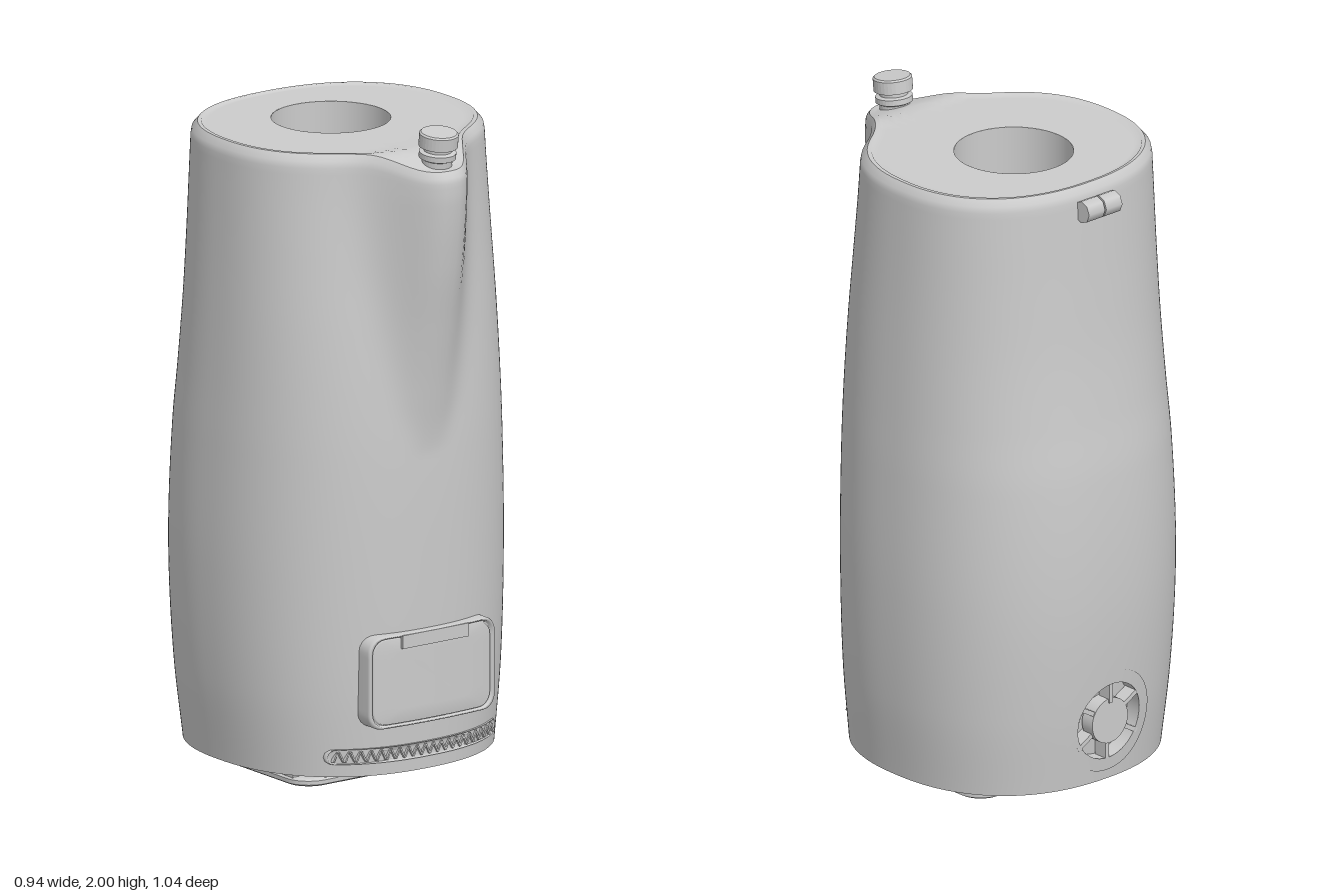
import * as THREE from 'three';
import { mergeVertices } from 'three/addons/utils/BufferGeometryUtils.js';

const TAU = Math.PI * 2, TOP = 1.93, FLOOR = 0.06, SEG = 160;
const VENT = { y: 0.25, r: 0.14 };
const grey = new THREE.MeshStandardMaterial({ color: 0xcccccc });
const greyDouble = new THREE.MeshStandardMaterial({ color: 0xcccccc, side: THREE.DoubleSide });
const smooth = THREE.MathUtils.smoothstep;

// Body profile by height: half width, front z, back z, spout reach, spout half width
const heights = [0.06, 0.3, 0.65, 1.02, 1.2, 1.4, 1.6, 1.8, 1.93];
const profile = new THREE.CubicInterpolant(heights, [
  0.435, 0.395, -0.48, 0, 0.05,
  0.460, 0.405, -0.503, 0, 0.05,
  0.472, 0.410, -0.52, 0, 0.05,
  0.464, 0.408, -0.505, 0, 0.05,
  0.456, 0.400, -0.483, 0.03, 0.085,
  0.447, 0.385, -0.462, 0.077, 0.112,
  0.438, 0.365, -0.448, 0.132, 0.13,
  0.430, 0.345, -0.437, 0.175, 0.14,
  0.425, 0.335, -0.43, 0.185, 0.143,
], 5);

function section(y) {
  const [w, front, back, reach, spread] = profile.evaluate(y);
  const e = Math.max(0, (y - 1.89) / 0.04);
  const inset = 0.018 * (1 - Math.sqrt(Math.max(0, 1 - e * e)));
  return { w: w - inset, c: (front + back) / 2, d: (front - back) / 2 - inset, reach: Math.max(0, reach), spread };
}

const N = 2.3; // squareness of the plan
const spow = (v) => Math.sign(v) * Math.abs(v) ** (2 / N);
const drop = (z) => 0.04 * smooth(z, 0.33, 0.5);

function bodyPoint(u, y) {
  const s = section(y), a = -u * TAU;
  const x = s.w * spow(Math.cos(a));
  let z = s.c + s.d * spow(Math.sin(a));
  if (Math.sin(a) > 0) z += s.reach * Math.exp(-((Math.abs(x) / s.spread) ** 2.5));
  return [x, y - drop(z) * smooth(y, 1.75, TOP), z];
}

// z of the shell below the spout; dir is 1 for the front, -1 for the back
function shellZ(x, y, dir) {
  const s = section(y);
  return s.c + dir * s.d * (1 - Math.abs(x / s.w) ** N) ** (1 / N);
}

// Grid surface from a point function; skip(x, y, z) leaves cells out
function sheet(nu, nv, fn, skip) {
  const pos = [], idx = [];
  for (let j = 0; j <= nv; j++) for (let i = 0; i <= nu; i++) pos.push(...fn(i / nu, j / nv, j));
  for (let j = 0; j < nv; j++) for (let i = 0; i < nu; i++) {
    const a = j * (nu + 1) + i, b = a + 1, c = a + nu + 1, d = c + 1;
    const mid = [0, 1, 2].map((k) => (pos[a * 3 + k] + pos[d * 3 + k]) / 2);
    if (skip && skip(...mid)) continue;
    idx.push(a, b, d, a, d, c);
  }
  let g = new THREE.BufferGeometry();
  g.setAttribute('position', new THREE.Float32BufferAttribute(pos, 3));
  g.setIndex(idx);
  g = mergeVertices(g, 1e-5);
  g.computeVertexNormals();
  return g;
}

function add(parent, name, geometry, x = 0, y = 0, z = 0, material = grey) {
  const m = new THREE.Mesh(geometry, material);
  m.name = name;
  m.position.set(x, y, z);
  parent.add(m);
  return m;
}

function roundedRect(w, h, r) {
  const s = new THREE.Shape(), x = w / 2 - r, y = h / 2 - r;
  s.absarc(x, y, r, 0, Math.PI / 2);
  s.absarc(-x, y, r, Math.PI / 2, Math.PI);
  s.absarc(-x, -y, r, Math.PI, Math.PI * 1.5);
  s.absarc(x, -y, r, Math.PI * 1.5, TAU);
  s.closePath();
  return s;
}

// Raised rounded panel; steps are [scale, z function] from the outside inwards
function panel(w, h, r, y0, steps) {
  const pts = roundedRect(w, h, r).getSpacedPoints(96);
  return sheet(96, steps.length - 1, (u, v, j) => {
    const p = pts[Math.round(u * 96)], [k, zf] = steps[j];
    const x = p.x * k, y = y0 + p.y * k;
    return [x, y, zf(x, y)];
  });
}

function createBody(root) {
  add(root, 'bodyShell', sheet(SEG, 96, (u, v) => bodyPoint(u, FLOOR + v * (TOP - FLOOR)),
    (x, y, z) => z < 0 && Math.hypot(x, y - VENT.y) < VENT.r));
  add(root, 'bodyUnderside', sheet(SEG, 1, (u, v) => {
    const [x, y, z] = bodyPoint(u, FLOOR);
    return [x * v, y, z * v];
  }));

  // Lid with a raised rim, blending to the round well
  const hole = { r: 0.175, z: -0.08 };
  const steps = [0, 0.05, 0.065, 0.15, 0.25, 0.35, 0.45, 0.6, 0.8, 1];
  add(root, 'lid', sheet(SEG, steps.length - 1, (u, v, j) => {
    const a = -u * TAU, t = steps[j], [x, , z] = bodyPoint(u, TOP);
    const px = x + (hole.r * Math.cos(a) - x) * t;
    const pz = z + (hole.z + hole.r * Math.sin(a) - z) * t;
    return [px, TOP - drop(pz) - (j > 1 && pz < 0.32 ? 0.005 : 0), pz];
  }));
  const depth = 1.2;
  add(root, 'wellWall', new THREE.CylinderGeometry(hole.r, hole.r, depth, 48, 1, true),
    0, TOP - 0.005 - depth / 2, hole.z, greyDouble);
  add(root, 'wellFloor', new THREE.CircleGeometry(hole.r, 48).rotateX(-Math.PI / 2), 0, TOP - depth, hole.z);
}

function createSpoutCap(root) {
  const cap = new THREE.Group();
  cap.name = 'spoutCap';
  const outline = [[0, -0.03], [0.045, -0.03], [0.045, 0.02], [0.055, 0.025], [0.055, 0.042], [0.042, 0.046],
    [0.042, 0.056], [0.058, 0.06], [0.058, 0.098], [0.053, 0.103], [0, 0.103]];
  const g = new THREE.LatheGeometry(outline.map((p) => new THREE.Vector2(...p)), 32).toNonIndexed();
  g.computeVertexNormals();
  add(cap, 'capKnob', g);
  cap.position.set(0, 1.895, 0.437);
  cap.rotation.x = 0.12;
  root.add(cap);
}

function createFront(root) {
  // Access door with a raised frame
  const face = (lift) => (x) => 0.432 + lift - 0.3 * x * x;
  const base = (x, y) => shellZ(x, y, 1) - 0.01;
  add(root, 'door', panel(0.46, 0.28, 0.045, 0.35, [[1, base], [1, face(-0.008)], [0.985, face(0)], [0.95, face(0)],
    [0.94, face(-0.01)], [0.92, face(-0.01)], [0.91, face(-0.003)], [0.6, face(-0.003)], [0.3, face(-0.003)], [0, face(-0.003)]]));
  add(root, 'doorTab', new THREE.BoxGeometry(0.24, 0.04, 0.03), 0, 0.467, 0.418);

  // Grille strip with zigzag ribs
  const lift = (d) => (x, y) => shellZ(x, y, 1) + d;
  add(root, 'grilleStrip', panel(0.62, 0.046, 0.022, 0.122, [[1, lift(-0.02)], [1, lift(0.006)], [0.98, lift(0.008)],
    [0.97, lift(0.002)], [0.5, lift(0.002)], [0, lift(0.002)]]));
  for (let i = 0; i < 40; i++) {
    const x = -0.285 + i * 0.57 / 39;
    const rib = add(root, 'grilleRib', new THREE.BoxGeometry(0.005, 0.034, 0.012), x, 0.122, shellZ(x, 0.122, 1) + 0.002);
    rib.rotation.z = i % 2 ? 0.45 : -0.45;
  }
}

function createVent(root) {
  const vent = new THREE.Group();
  vent.name = 'rearVent';
  const polar = (r, a, lift) => {
    const x = r * Math.cos(a), y = VENT.y + r * Math.sin(a);
    return [x, y, shellZ(x, y, -1) - lift];
  };
  add(vent, 'ventRing', sheet(64, 2, (u, v) => polar(0.12 + v * 0.04, u * TAU, 0.003)), 0, 0, 0, greyDouble);
  add(vent, 'ventWall', sheet(64, 1, (u, v) => polar(0.122, u * TAU, -0.05 + v * 0.053)), 0, 0, 0, greyDouble);
  add(vent, 'ventBack', sheet(64, 3, (u, v) => polar(0.125 * v, u * TAU, -0.05)), 0, 0, 0, greyDouble);
  add(vent, 'ventHub', new THREE.CylinderGeometry(0.07, 0.07, 0.045, 32).rotateX(Math.PI / 2),
    0, VENT.y, shellZ(0, VENT.y, -1) + 0.022);
  for (let i = 0; i < 6; i++) {
    const a = (i + 0.5) * TAU / 6, [x, y, z] = polar(0.095, a, 0);
    add(vent, 'ventSpoke', new THREE.BoxGeometry(0.075, 0.014, 0.045), x, y, z + 0.025).rotation.z = a;
  }
  root.add(vent);
}

function createLatch(root) {
  for (const side of [-1, 1]) {
    add(root, 'hingeBarrel', new THREE.CylinderGeometry(0.034, 0.034, 0.063, 8).rotateZ(Math.PI / 2),
      side * 0.034, 1.862, -0.447);
  }
}

function createBase(root) {
  const base = new THREE.Group();
  base.name = 'base';
  const cz = -0.035, w = 0.62, d = 0.47;
  const plate = new THREE.ExtrudeGeometry(roundedRect(w - 0.02, d - 0.02, 0.07),
    { depth: 0.012, bevelEnabled: true, bevelSize: 0.01, bevelThickness: 0.006, bevelSegments: 1 });
  add(base, 'basePlate', plate.rotateX(-Math.PI / 2), 0, 0.006, cz);
  // Spacer blocks between the plate and the body
  for (const side of [-1, 1]) {
    for (const x of [-0.16, 0, 0.16]) {
      add(base, 'spacerBlock', new THREE.BoxGeometry(0.13, 0.042, 0.025), x, 0.04, cz + side * (d / 2 - 0.02));
    }
    for (const z of [-0.11, 0.11]) {
      add(base, 'spacerBlock', new THREE.BoxGeometry(0.025, 0.042, 0.13), side * (w / 2 - 0.02), 0.04, cz + z);
    }
    for (const z of [-0.33, 0.26]) {
      add(base, 'screw', new THREE.CylinderGeometry(0.018, 0.018, 0.01, 16), side * 0.25, 0.057, z);
    }
  }
  root.add(base);
}

export function createModel() {
  const root = new THREE.Group();
  root.name = 'jugAppliance';
  for (const build of [createBody, createSpoutCap, createFront, createVent, createLatch, createBase]) build(root);
  return root;
}
